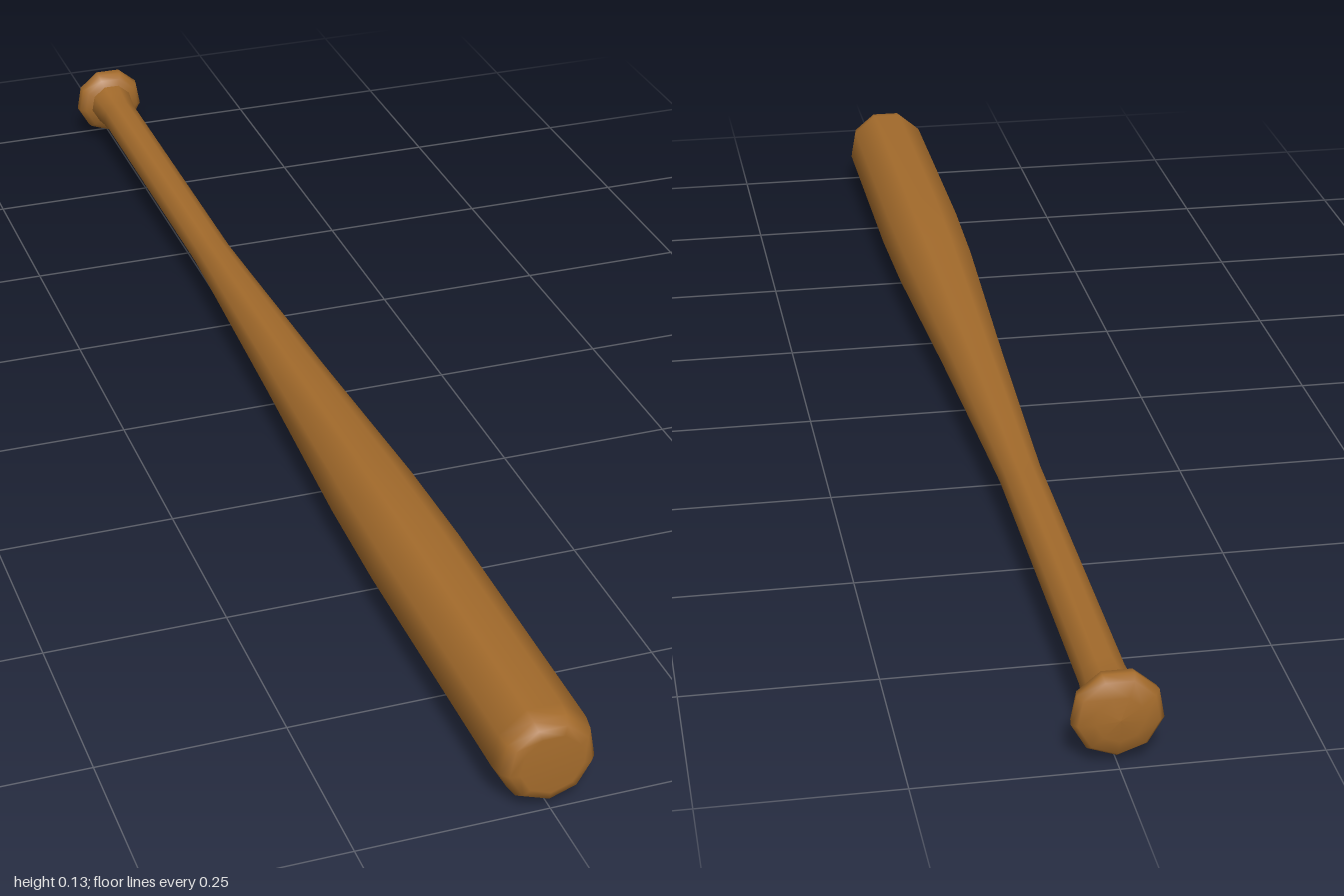
import * as THREE from 'three';

const SIDES = 9;
const AXIS_HEIGHT = 0.068;

// Turned part lying along z; profile is [radius, z] from back to front
function turned(name, profile, material) {
  const points = profile.map(([r, z]) => new THREE.Vector2(r, z));
  const geometry = new THREE.LatheGeometry(points, SIDES);
  geometry.rotateX(Math.PI / 2);
  const mesh = new THREE.Mesh(geometry, material);
  mesh.name = name;
  return mesh;
}

export function createModel() {
  const wood = new THREE.MeshStandardMaterial({ color: 0xa56c2c });
  wood.name = 'wood';

  const bat = new THREE.Group();
  bat.name = 'bat';
  bat.position.y = AXIS_HEIGHT;

  // Domed knob at the back end
  bat.add(turned('knob', [
    [0, -1], [0.03, -0.997], [0.05, -0.991], [0.057, -0.982],
    [0.055, -0.97], [0.047, -0.962], [0.036, -0.957],
  ], wood));

  // Thin grip, flaring slightly into the knob
  bat.add(turned('handle', [
    [0.037, -0.962], [0.033, -0.935], [0.03, -0.9], [0.03, -0.65], [0.03, -0.4],
  ], wood));

  // Long taper, straight hitting end and rounded tip
  bat.add(turned('barrel', [
    [0.03, -0.4], [0.03, -0.36], [0.034, -0.25], [0.046, 0.05], [0.0615, 0.38],
    [0.0655, 0.55], [0.0655, 0.965], [0.062, 0.985], [0.054, 0.996], [0.042, 1], [0, 1],
  ], wood));

  const model = new THREE.Group();
  model.name = 'model';
  model.add(bat);
  return model;
}
